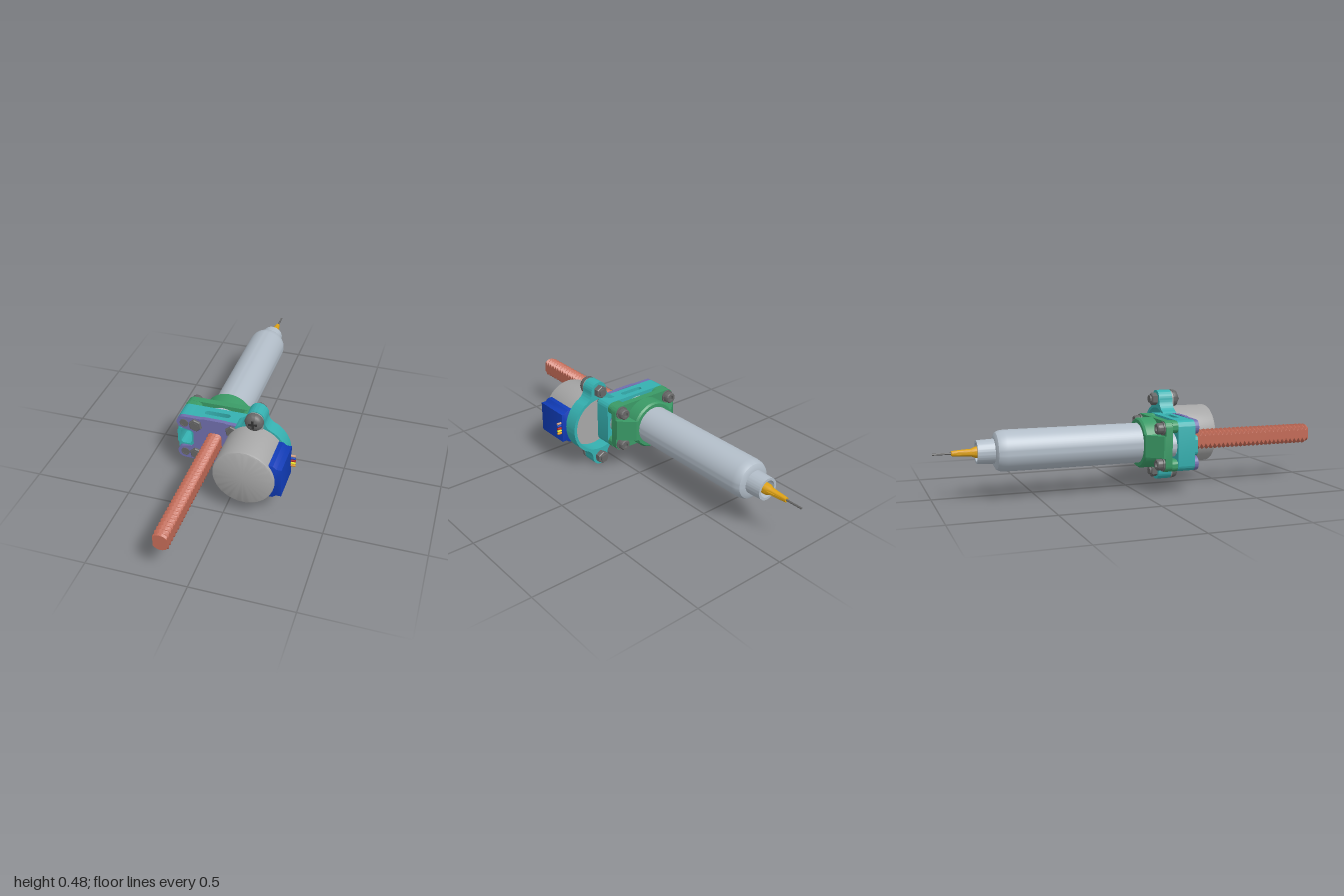
import * as THREE from 'three';
import { toCreasedNormals } from 'three/addons/utils/BufferGeometryUtils.js';

const mat = (c) => new THREE.MeshStandardMaterial({ color: c, side: THREE.DoubleSide });
const teal = mat(0x35b0b0), green = mat(0x3a9a66), purple = mat(0x706eac), clay = mat(0xc26a56),
  barrelGrey = mat(0xb2bdc8), motorGrey = mat(0xa6a6a6), steel = mat(0x666666), dark = mat(0x333333),
  blue = mat(0x103cb8), gold = mat(0xdca014);
const AX = -0.115, AY = 0.24, MX = 0.1; // barrel axis, motor axis

function add(parent, name, geo, material, x = 0, y = 0, z = 0) {
  const m = new THREE.Mesh(geo, material);
  m.name = name;
  m.position.set(x, y, z);
  parent.add(m);
  return m;
}
// flat shape in xy, extruded from z0 to z1
function slab(shape, z0, z1, bevel = 0) {
  const g = new THREE.ExtrudeGeometry(shape, { depth: z1 - z0 - 2 * bevel, curveSegments: 20,
    bevelEnabled: bevel > 0, bevelThickness: bevel, bevelSize: bevel, bevelOffset: -bevel, bevelSegments: 2 });
  g.translate(0, 0, z0 + bevel);
  return toCreasedNormals(g, 0.6);
}
// [radius, z] profile turned about the z axis
function turned(profile, seg = 48) {
  const g = new THREE.LatheGeometry(profile.map(([r, z]) => new THREE.Vector2(r, z)), seg);
  return toCreasedNormals(g.rotateX(Math.PI / 2), 0.6);
}
const rod = (r, z0, z1, seg = 32) => turned([[0, z0], [r, z0], [r, z1], [0, z1]], seg);
function roundRect(x0, y0, x1, y1, r, S = THREE.Shape) {
  const s = new S();
  s.absarc(x1 - r, y1 - r, r, 0, Math.PI / 2);
  s.absarc(x0 + r, y1 - r, r, Math.PI / 2, Math.PI);
  s.absarc(x0 + r, y0 + r, r, Math.PI, Math.PI * 1.5);
  s.absarc(x1 - r, y0 + r, r, Math.PI * 1.5, Math.PI * 2);
  s.closePath();
  return s;
}
const poly = (pts) => new THREE.Shape(pts.map(([x, y]) => new THREE.Vector2(x, y)));
function gearShape(r, teeth, bore) {
  const pts = [];
  for (let i = 0; i < teeth * 4; i++) {
    const a = (i / (teeth * 4)) * Math.PI * 2, q = i % 4 < 2 ? r : r - 0.011;
    pts.push([q * Math.cos(a), q * Math.sin(a)]);
  }
  const s = poly(pts);
  s.holes.push(new THREE.Path().absarc(0, 0, bore, 0, Math.PI * 2, true));
  return s;
}

function makeSyringe() {
  const g = new THREE.Group();
  g.name = 'syringe';
  g.position.set(AX, AY, 0);
  // barrel with shoulder and hollow neck
  add(g, 'barrel', turned([[0, -0.72], [0.042, -0.72], [0.044, -0.795], [0.057, -0.795], [0.06, -0.712], [0.075, -0.71],
    [0.09, -0.702], [0.098, -0.685], [0.101, -0.66], [0.101, 0.15], [0.08, 0.15], [0.08, -0.6]], 64), barrelGrey);
  // finger flange
  const f = new THREE.Shape();
  f.absarc(0.12, 0, 0.06, -Math.PI / 2, Math.PI / 2);
  f.absarc(0, 0, 0.112, 0.9, Math.PI - 0.9);
  f.absarc(-0.12, 0, 0.06, Math.PI / 2, Math.PI * 1.5);
  f.absarc(0, 0, 0.112, Math.PI + 0.9, Math.PI * 2 - 0.9);
  f.holes.push(new THREE.Path().absarc(0, 0, 0.08, 0, Math.PI * 2, true));
  add(g, 'fingerFlange', slab(f, 0.135, 0.165), barrelGrey);
  // needle hub with wings, and needle
  add(g, 'needleHub', turned([[0, -0.912], [0.012, -0.912], [0.015, -0.88], [0.018, -0.82], [0.027, -0.8], [0.03, -0.72], [0, -0.72]], 24), gold);
  const wing = new THREE.ExtrudeGeometry(poly([[-0.028, -0.78], [-0.014, -0.89], [0.014, -0.89], [0.028, -0.78]]), { depth: 0.01, bevelEnabled: false });
  wing.translate(0, 0, -0.005).rotateX(Math.PI / 2);
  add(g, 'hubWings', wing, gold);
  add(g, 'needle', rod(0.005, -1, -0.9, 12), steel);
  // threaded plunger screw: helical ridge cut by two flats
  const z0 = 0.1, len = 0.9, pitch = 0.025;
  const s = new THREE.CylinderGeometry(1, 1, len, 48, 288).rotateX(Math.PI / 2).translate(0, 0, z0 + len / 2);
  const p = s.attributes.position;
  for (let i = 0; i < p.count; i++) {
    const x = p.getX(i), y = p.getY(i), z = p.getZ(i);
    if (Math.hypot(x, y) < 0.5) continue;
    const t = z / pitch - Math.atan2(y, x) / (2 * Math.PI) + 10;
    const tri = Math.abs((t % 1) - 0.5) * 2;
    const r = Math.min(0.053 - 0.014 * tri, 0.043 + (1 - z) * 0.8);
    p.setXYZ(i, THREE.MathUtils.clamp(x * r, -0.034, 0.034), y * r, z);
  }
  add(g, 'plungerScrew', toCreasedNormals(s, 0.5), clay);
  return g;
}

function makeBracket() {
  const g = new THREE.Group();
  g.name = 'bracket';
  g.position.set(AX, AY, 0);
  // rear clamp: plate, collar and side ribs
  const plate = roundRect(-0.193, -0.127, 0.193, 0.127, 0.035);
  plate.holes.push(new THREE.Path().absarc(0, 0, 0.1, 0, Math.PI * 2, true));
  add(g, 'clampPlate', slab(plate, 0.1, 0.135), green);
  add(g, 'clampCollar', turned([[0.1, 0.02], [0.119, 0.02], [0.127, 0.03], [0.127, 0.11], [0.1, 0.11], [0.1, 0.02]], 64), green);
  for (const s of [-1, 1]) {
    const rib = new THREE.ExtrudeGeometry(poly([[0.1, 0.02], [0.12, 0.02], [0.193, 0.09], [0.193, 0.11], [0.1, 0.11]]), { depth: 0.11, bevelEnabled: false });
    rib.rotateX(Math.PI / 2).translate(0, 0.055, 0);
    if (s < 0) rib.rotateZ(Math.PI);
    add(g, 'clampRib', rib, green);
    for (const v of [-1, 1]) {
      // corner spacers, clamp bolts and front nuts
      const lug = roundRect(-0.045, -0.03, 0.045, 0.03, 0.028);
      add(g, 'cornerSpacer', slab(lug, 0.135, 0.165), green, s * 0.148, v * 0.096);
      add(g, 'clampBolt', turned([[0, 0.075], [0.013, 0.075], [0.013, 0.062], [0.024, 0.062], [0.028, 0.068], [0.028, 0.092], [0.034, 0.092],
        [0.034, 0.1], [0.02, 0.1], [0.02, 0.274], [0.022, 0.274], [0.022, 0.28], [0.016, 0.28], [0.016, 0.277], [0, 0.277]], 32), steel, s * 0.155, v * 0.09);
      const nut = add(g, 'hexNut', turned([[0, 0.27], [0.035, 0.27], [0.035, 0.284], [0.03, 0.288], [0, 0.288]], 6), steel, s * 0.095, v * 0.089);
      nut.rotation.z = 0.2;
      add(g, 'nutBoltEnd', rod(0.017, 0.27, 0.29), steel, s * 0.095, v * 0.089);
    }
    // gearbox side blocks with a window
    const side = roundRect(0.08, -0.127, 0.195, 0.127, 0.035);
    side.holes.push(roundRect(0.12, -0.04, 0.178, 0.04, 0.014, THREE.Path));
    const geo = slab(side, 0.165, 0.255);
    if (s < 0) geo.rotateZ(Math.PI);
    add(g, 'gearboxSide', geo, teal);
    // slotted top and bottom walls
    const wall = roundRect(-0.12, 0.165, 0.12, 0.255, 0.004);
    wall.holes.push(roundRect(-0.065, 0.196, 0.065, 0.226, 0.014, THREE.Path));
    const w = slab(wall, 0, 0.03).rotateX(Math.PI / 2).translate(0, s > 0 ? 0.1272 : -0.0972, 0);
    add(g, 'slottedWall', w, teal);
  }
  // raised rim around the end window
  const rim = roundRect(-0.195, -0.049, -0.11, 0.049, 0.02);
  rim.holes.push(roundRect(-0.178, -0.04, -0.12, 0.04, 0.014, THREE.Path));
  add(g, 'windowRim', slab(rim, 0.25, 0.27), teal);
  // front cover with notch and opening for the screw
  const c = new THREE.Shape();
  c.moveTo(0.15, -0.126);
  c.lineTo(0.15, 0.126);
  c.lineTo(0.065, 0.128).lineTo(0.055, 0.131).lineTo(-0.055, 0.131).lineTo(-0.065, 0.128);
  c.absarc(-0.158, 0.091, 0.036, Math.PI / 2, Math.PI * 1.4);
  c.lineTo(-0.13, 0.05);
  c.quadraticCurveTo(-0.109, 0.05, -0.109, 0.03);
  c.lineTo(-0.109, -0.03);
  c.quadraticCurveTo(-0.109, -0.05, -0.13, -0.05);
  c.absarc(-0.158, -0.091, 0.036, Math.PI * 0.6, Math.PI * 1.5);
  c.lineTo(-0.065, -0.128).lineTo(-0.055, -0.131).lineTo(0.055, -0.131).lineTo(0.065, -0.128);
  c.closePath();
  c.holes.push(roundRect(-0.039, -0.056, 0.039, 0.056, 0.022, THREE.Path));
  add(g, 'frontCover', slab(c, 0.255, 0.276), purple);
  // drive gears
  add(g, 'driveGear', slab(gearShape(0.078, 24, 0.04), 0.19, 0.245), purple);
  add(g, 'pinion', slab(gearShape(0.055, 16, 0.012), 0.19, 0.245), purple, 0.131);
  add(g, 'motorShaft', rod(0.013, 0.18, 0.3), steel, 0.131);
  return g;
}

function makeMotor() {
  const g = new THREE.Group();
  g.name = 'motorAssembly';
  g.position.set(MX, AY, 0);
  // open mounting ring with two ears
  const R = 0.163, end = 2.27, s = new THREE.Shape();
  const ear = (k) => { // k = 1 top, -1 bottom
    const c = Math.cos(0.96) * R, d = Math.sin(0.96) * R;
    s.quadraticCurveTo(k * 0.05, k * 0.152, k * 0.047, k * 0.185);
    s.absarc(0, k * 0.194, 0.047, k > 0 ? 0 : Math.PI, k > 0 ? Math.PI : Math.PI * 2);
    s.quadraticCurveTo(-k * 0.05, k * 0.152, -k * c, k * d);
  };
  s.absarc(0, 0, R, -end, -Math.PI + 0.96);
  ear(-1);
  s.absarc(0, 0, R, -0.96, 0.96);
  ear(1);
  s.absarc(0, 0, R, Math.PI - 0.96, end);
  s.absarc(0, 0, 0.147, end, -end, true);
  s.closePath();
  add(g, 'mountRing', slab(s, 0.21, 0.285), teal);
  // motor can and its mounting tabs
  add(g, 'motorCan', turned([[0, 0.283], [0.153, 0.283], [0.153, 0.485], [0.15, 0.493], [0.143, 0.497], [0, 0.497]], 72), motorGrey);
  for (const k of [-1, 1]) {
    add(g, 'motorTab', slab(roundRect(-0.042, -0.07, 0.042, 0.042, 0.04), 0.285, 0.294), motorGrey, 0, k * 0.194).rotation.z = k < 0 ? Math.PI : 0;
    // cross-head screw and rear nut
    add(g, 'mountScrew', turned([[0, 0.17], [0.02, 0.17], [0.02, 0.294], [0.046, 0.294], [0.046, 0.308], [0.04, 0.32], [0.026, 0.328], [0, 0.331]], 40), steel, 0, k * 0.194);
    for (const a of [0, Math.PI / 2])
      add(g, 'screwCross', new THREE.BoxGeometry(0.044, 0.011, 0.006), dark, 0, k * 0.194, 0.329).rotation.z = a + 0.1;
    add(g, 'mountNut', turned([[0, 0.18], [0.03, 0.18], [0.034, 0.184], [0.034, 0.21], [0, 0.21]], 6), steel, 0, k * 0.194);
  }
  // wire cover and wire ends
  add(g, 'wireCover', slab(poly([[0.11, -0.094], [0.143, -0.094], [0.16, -0.08], [0.185, -0.08],
    [0.185, 0.08], [0.16, 0.08], [0.143, 0.094], [0.11, 0.094]]), 0.288, 0.48, 0.004), blue);
  [0xd0a080, 0x1848c0, 0xb02020, 0xe8e020, 0xe0962a].forEach((col, i) => {
    const w = new THREE.CylinderGeometry(0.006, 0.006, 0.04, 12).rotateZ(Math.PI / 2);
    add(g, 'wire', w, mat(col), 0.188, 0.029 - i * 0.0145, 0.3);
  });
  return g;
}

export function createModel() {
  const model = new THREE.Group();
  model.name = 'syringePump';
  model.add(makeSyringe(), makeBracket(), makeMotor());
  return model;
}
